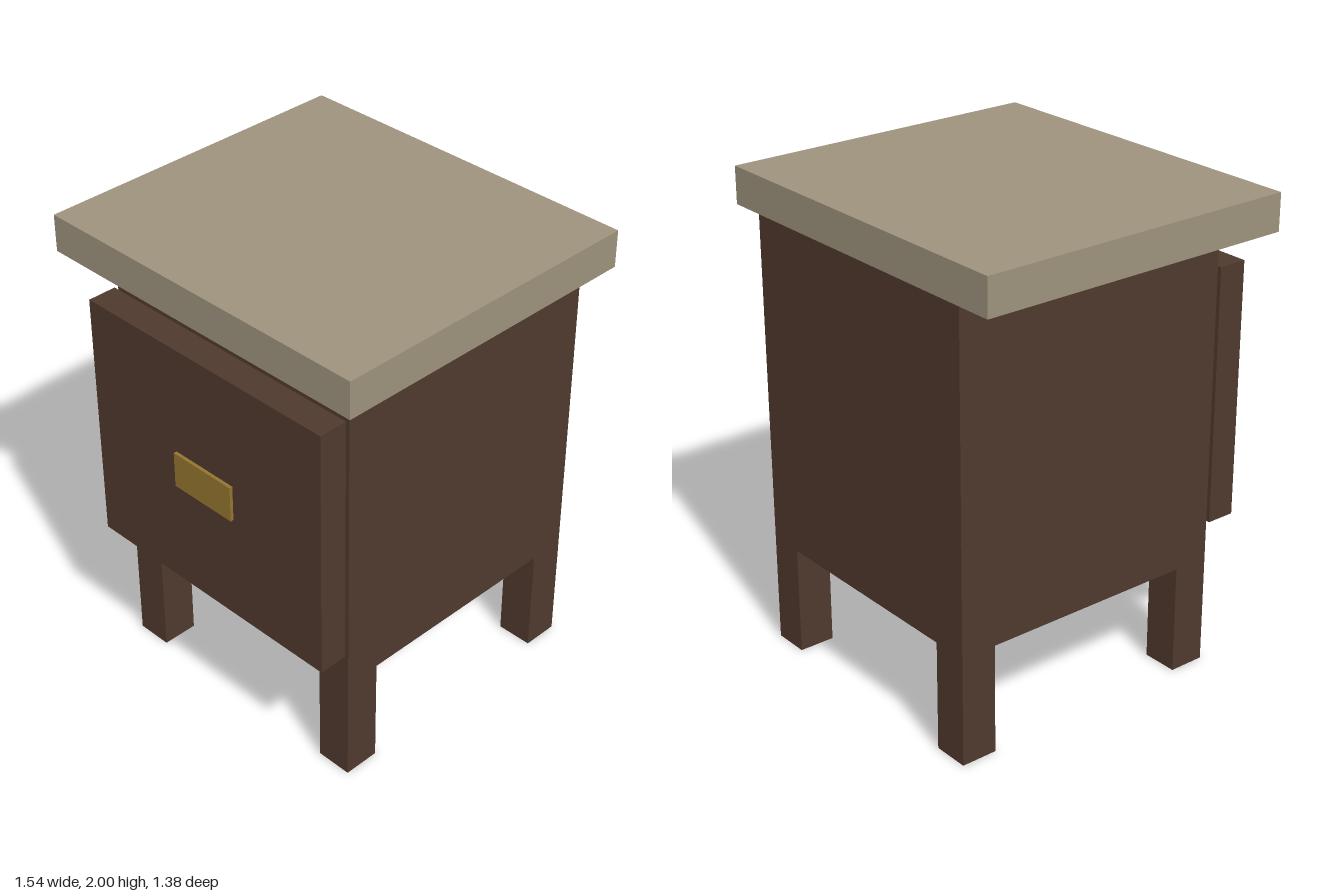
import * as THREE from 'three';

const wood = new THREE.MeshStandardMaterial({ color: 0x4f392d });
wood.name = 'dark wood';
const stone = new THREE.MeshStandardMaterial({ color: 0x9e927d });
stone.name = 'pale top';
const brass = new THREE.MeshStandardMaterial({ color: 0x94752f });
brass.name = 'brass';

// Box given by its lower and upper limits on each axis
function box(name, material, [x0, x1], [y0, y1], [z0, z1]) {
  const mesh = new THREE.Mesh(new THREE.BoxGeometry(x1 - x0, y1 - y0, z1 - z0), material);
  mesh.position.set((x0 + x1) / 2, (y0 + y1) / 2, (z0 + z1) / 2);
  mesh.name = name;
  return mesh;
}

export function createModel() {
  const model = new THREE.Group();
  model.name = 'nightstand';

  const halfWidth = 0.615, back = -0.692, front = 0.538;
  const legSize = 0.154, legHeight = 0.463, bodyTop = 1.846;

  // Overhanging top slab, flush with the back
  model.add(box('top', stone, [-0.769, 0.769], [bodyTop, 2], [back, 0.692]));

  // Cabinet body
  model.add(box('body', wood, [-halfWidth, halfWidth], [legHeight, bodyTop], [back, front]));

  // Four square legs flush with the body corners
  for (const [side, x] of [['left', halfWidth - legSize], ['right', -halfWidth]]) {
    for (const [end, z] of [['Front', front - legSize], ['Back', back]]) {
      model.add(box(side + end + 'Leg', wood, [x, x + legSize], [0, legHeight], [z, z + legSize]));
    }
  }

  // Drawer front, standing just clear of the body
  model.add(box('drawerFront', wood, [-halfWidth, halfWidth], [0.617, 1.694], [0.555, 0.678]));

  // Handle block passing through the drawer front to the body
  model.add(box('handle', brass, [-0.154, 0.154], [1.078, 1.232], [front, 0.692]));

  return model;
}
